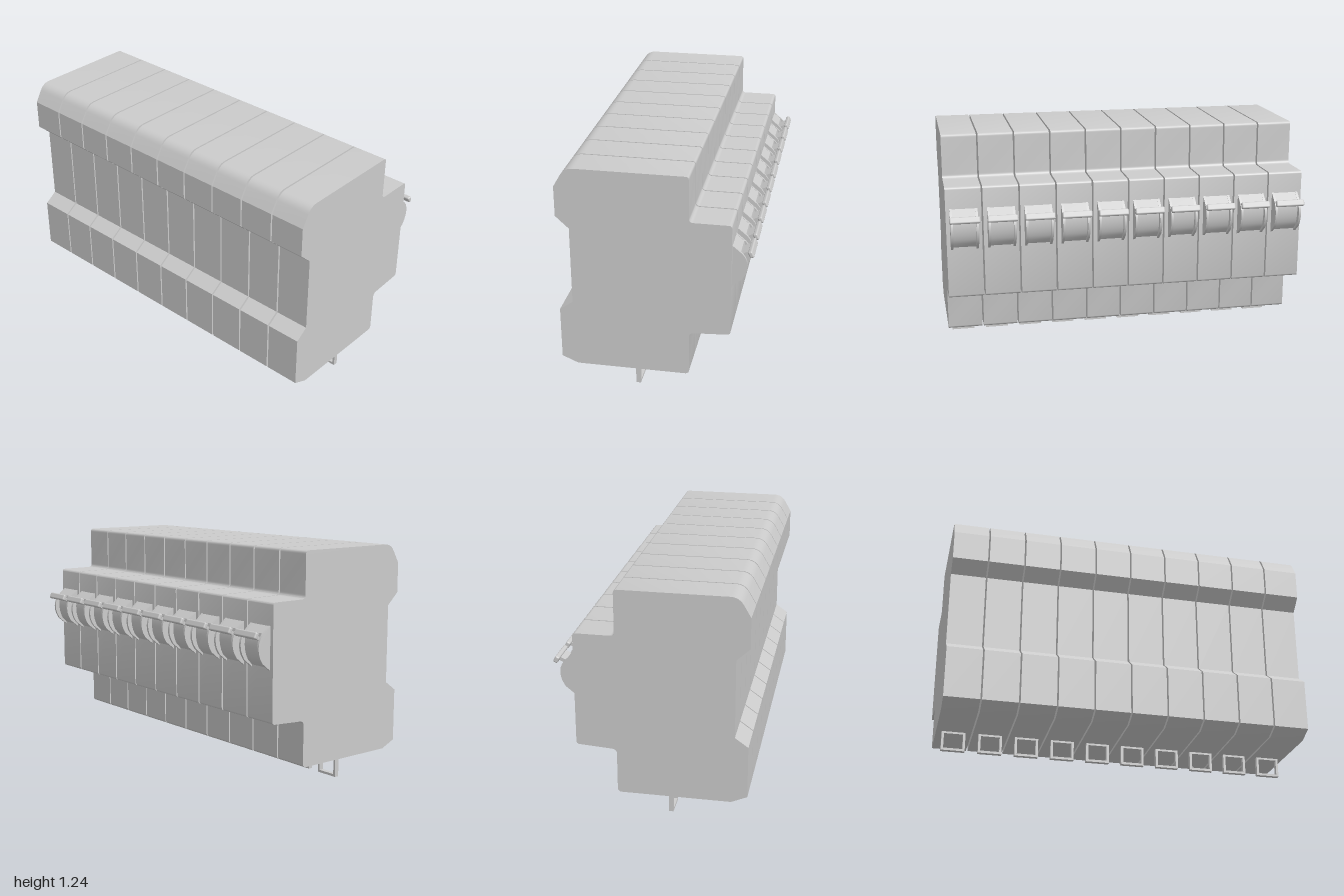
import * as THREE from 'three';
import { toCreasedNormals } from 'three/addons/utils/BufferGeometryUtils.js';
import { RoundedBoxGeometry } from 'three/addons/geometries/RoundedBoxGeometry.js';

const COUNT = 10, WIDTH = 0.192, PITCH = (2 - WIDTH) / (COUNT - 1);
const material = new THREE.MeshStandardMaterial({ color: 0xcccccc });

// Outline from [z, y, cornerRadius] points, with rounded corners
function roundedShape(points) {
  const shape = new THREE.Shape();
  points.forEach(([x, y, r = 0], i) => {
    const p = new THREE.Vector2(x, y);
    const toward = (q) => new THREE.Vector2(q[0], q[1]).sub(p).setLength(r).add(p);
    const a = toward(points.at(i - 1)), b = toward(points[(i + 1) % points.length]);
    if (i === 0) shape.moveTo(a.x, a.y);
    else shape.lineTo(a.x, a.y);
    if (r) shape.quadraticCurveTo(x, y, b.x, b.y);
  });
  shape.closePath();
  return shape;
}

// Extrude a (z, y) outline across x, centred on x = 0
function sideExtrude(shape, width) {
  const geo = new THREE.ExtrudeGeometry(shape, { depth: width, bevelEnabled: false, curveSegments: 6 });
  geo.translate(0, 0, -width / 2).rotateY(-Math.PI / 2);
  return toCreasedNormals(geo, 0.5);
}

const bodyGeo = sideExtrude(roundedShape([
  [0.505, 0.145], [0.42, 0.108], [-0.181, 0.108, 0.022], [-0.181, 0.357, 0.025],
  [-0.397, 0.37, 0.018], [-0.397, 0.99, 0.018], [-0.181, 0.99, 0.022], [-0.181, 1.235, 0.018],
  [0.445, 1.235, 0.045], [0.505, 1.132], [0.505, 0.97], [0.435, 0.905],
  [0.435, 0.48], [0.505, 0.43],
]), WIDTH);

// Toggle cheek: rounded disc segment standing out of the housing
const cheek = new THREE.Shape();
cheek.moveTo(-0.39, 0.878);
cheek.lineTo(-0.397, 0.872);
cheek.lineTo(-0.447, 0.83);
cheek.bezierCurveTo(-0.482, 0.795, -0.484, 0.735, -0.447, 0.685);
cheek.lineTo(-0.397, 0.645);
cheek.lineTo(-0.39, 0.64);
const cheekGeo = sideExtrude(cheek, 0.013);

// Recessed drum between the cheeks
const drum = new THREE.Shape();
drum.moveTo(-0.39, 0.876);
drum.lineTo(-0.438, 0.836);
drum.bezierCurveTo(-0.452, 0.79, -0.452, 0.73, -0.425, 0.685);
drum.lineTo(-0.39, 0.65);
const drumGeo = sideExtrude(drum, 0.13);

const stemGeo = new THREE.BoxGeometry(0.095, 0.018, 0.08);
const gripGeo = new RoundedBoxGeometry(0.164, 0.036, 0.024, 3, 0.008);

// Rectangular loop under the housing
const frame = new THREE.Shape([[-0.065, 0], [0.065, 0], [0.065, 0.11], [-0.065, 0.11]].map((p) => new THREE.Vector2(...p)));
frame.holes.push(new THREE.Path([[-0.052, 0.013], [-0.052, 0.097], [0.052, 0.097], [0.052, 0.013]].map((p) => new THREE.Vector2(...p))));
const loopGeo = new THREE.ExtrudeGeometry(frame, { depth: 0.025, bevelEnabled: false });
loopGeo.translate(0, 0, 0.086);

function add(parent, name, geo, x = 0, y = 0, z = 0) {
  const mesh = new THREE.Mesh(geo, material);
  mesh.name = name;
  mesh.position.set(x, y, z);
  parent.add(mesh);
  return mesh;
}

function createUnit() {
  const unit = new THREE.Group();
  add(unit, 'housing', bodyGeo);
  add(unit, 'terminalLoop', loopGeo);

  const toggle = new THREE.Group();
  toggle.name = 'toggle';
  for (const side of [-1, 1]) add(toggle, 'toggleCheek', cheekGeo, side * 0.0685);
  add(toggle, 'toggleDrum', drumGeo);
  // Lever tilted upward, pointing out of the back
  const lever = new THREE.Group();
  lever.name = 'lever';
  lever.position.set(0, 0.831, -0.491);
  lever.rotation.x = 0.45;
  add(lever, 'leverStem', stemGeo, 0, 0, 0.04);
  add(lever, 'leverGrip', gripGeo);
  toggle.add(lever);
  unit.add(toggle);
  return unit;
}

export function createModel() {
  const model = new THREE.Group();
  model.name = 'breakerRow';
  for (let i = 0; i < COUNT; i++) {
    const unit = createUnit();
    unit.name = `breaker${i + 1}`;
    unit.position.x = (i - (COUNT - 1) / 2) * PITCH;
    model.add(unit);
  }
  return model;
}
